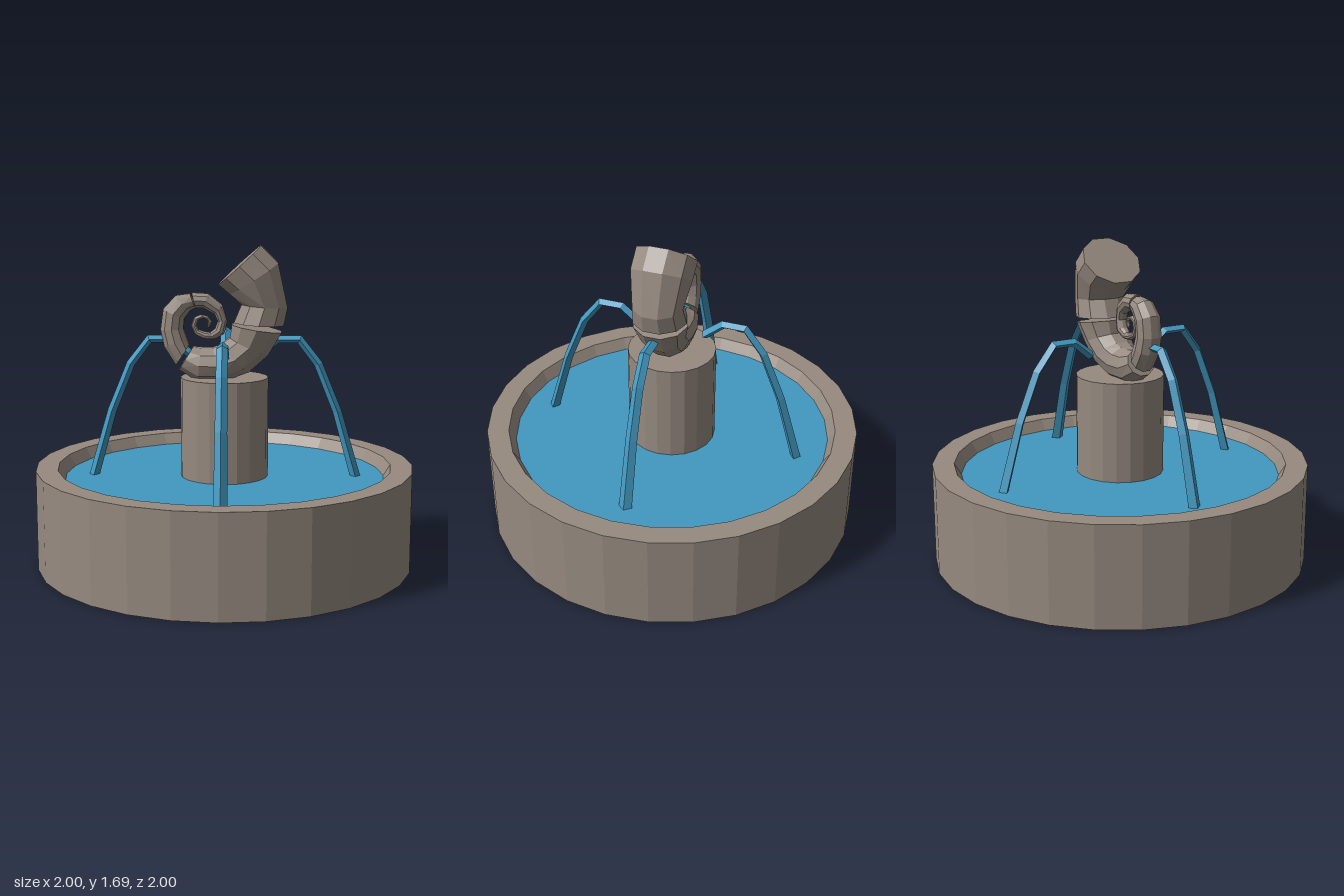
import * as THREE from 'three';

const stone = new THREE.MeshStandardMaterial({ color: 0x968a80 });
stone.name = 'stone';
const water = new THREE.MeshStandardMaterial({ color: 0x4298c0 });
water.name = 'water';

// Mesh with faceted normals
function part(name, geometry, material) {
  const g = geometry.index ? geometry.toNonIndexed() : geometry;
  g.computeVertexNormals();
  const mesh = new THREE.Mesh(g, material);
  mesh.name = name;
  return mesh;
}

// Capped tube along a path in the xy plane.
// Each ring is [outerX, outerY, innerX, innerY]; widthScale stretches it in z.
function sweep(rings, sides, offset, widthScale) {
  const pos = [], index = [];
  const fit = 1 / Math.cos(offset);
  for (const [ox, oy, ix, iy] of rings) {
    const cx = (ox + ix) / 2, cy = (oy + iy) / 2;
    const ux = (ox - ix) / 2, uy = (oy - iy) / 2;
    const rz = Math.hypot(ux, uy) * widthScale;
    for (let j = 0; j < sides; j++) {
      const a = offset + (j / sides) * Math.PI * 2;
      const c = Math.cos(a) * fit;
      pos.push(cx + ux * c, cy + uy * c, Math.sin(a) * rz);
    }
  }
  const last = (rings.length - 1) * sides;
  for (let i = 0; i < last; i += sides) {
    for (let j = 0; j < sides; j++) {
      const k = (j + 1) % sides;
      index.push(i + j, i + k, i + sides + j, i + k, i + sides + k, i + sides + j);
    }
  }
  for (let j = 1; j < sides - 1; j++) {
    index.push(0, j + 1, j, last, last + j, last + j + 1);
  }
  const g = new THREE.BufferGeometry();
  g.setAttribute('position', new THREE.Float32BufferAttribute(pos, 3));
  g.setIndex(index);
  return g;
}

// Shell pieces from the mouth to the centre of the coil, with cracks between them
const shellPieces = [
  [[0.19, 1.69, -0.03, 1.49], [0.28, 1.6, 0.03, 1.44], [0.33, 1.37, 0.09, 1.385], [0.31, 1.275, 0.05, 1.29]],
  [[0.3, 1.24, 0.04, 1.28], [0.23, 1.12, 0.03, 1.21], [0.13, 1.03, -0.02, 1.17],
    [0, 0.98, -0.06, 1.155], [-0.14, 0.98, -0.12, 1.155], [-0.24, 1.04, -0.165, 1.16]],
  [[-0.255, 1.065, -0.185, 1.17], [-0.315, 1.16, -0.2, 1.21], [-0.335, 1.25, -0.215, 1.255],
    [-0.32, 1.36, -0.21, 1.31], [-0.255, 1.43, -0.18, 1.35], [-0.18, 1.44, -0.15, 1.365]],
  [[-0.17, 1.445, -0.15, 1.365], [-0.085, 1.44, -0.11, 1.365], [-0.01, 1.38, -0.05, 1.33],
    [0.015, 1.295, -0.035, 1.295], [0, 1.23, -0.05, 1.255], [-0.05, 1.2, -0.075, 1.235],
    [-0.105, 1.2, -0.105, 1.24], [-0.155, 1.225, -0.135, 1.25], [-0.175, 1.27, -0.145, 1.27],
    [-0.16, 1.315, -0.135, 1.3], [-0.12, 1.33, -0.11, 1.31], [-0.085, 1.32, -0.09, 1.3],
    [-0.065, 1.29, -0.085, 1.285], [-0.08, 1.257, -0.09, 1.268]],
];

// Water jet arc, from the shell out to the pool
const jetRings = [
  [0.166, 1.14, 0.19, 1.1], [0.27, 1.22, 0.285, 1.18], [0.405, 1.22, 0.385, 1.18],
  [0.515, 1.08, 0.475, 1.06], [0.62, 0.825, 0.575, 0.81], [0.728, 0.46, 0.675, 0.45],
];

export function createModel() {
  const model = new THREE.Group();
  model.name = 'shellFountain';

  // Round basin with a tapered inner wall
  const profile = [[0, 0], [1, 0], [1, 0.53], [0.885, 0.53], [0.845, 0.465]]
    .map(([x, y]) => new THREE.Vector2(x, y));
  model.add(part('basin', new THREE.LatheGeometry(profile, 28), stone));

  // Pool surface
  const pool = part('poolWater', new THREE.CircleGeometry(0.848, 28), water);
  pool.rotation.x = -Math.PI / 2;
  pool.position.y = 0.47;
  model.add(pool);

  // Pedestal
  const pedestal = part('pedestal', new THREE.CylinderGeometry(0.232, 0.232, 0.54, 20), stone);
  pedestal.position.y = 0.73;
  model.add(pedestal);

  // Coiled shell
  const shell = new THREE.Group();
  shell.name = 'shell';
  shellPieces.forEach((rings, i) => {
    shell.add(part(`shellPiece${i + 1}`, sweep(rings, 10, Math.PI / 10, 1.1), stone));
  });
  model.add(shell);

  // Four water jets
  for (let i = 0; i < 4; i++) {
    const jet = part(`waterJet${i + 1}`, sweep(jetRings, 4, 0, 1.3), water);
    jet.rotation.y = (i * Math.PI) / 2;
    model.add(jet);
  }
  return model;
}
